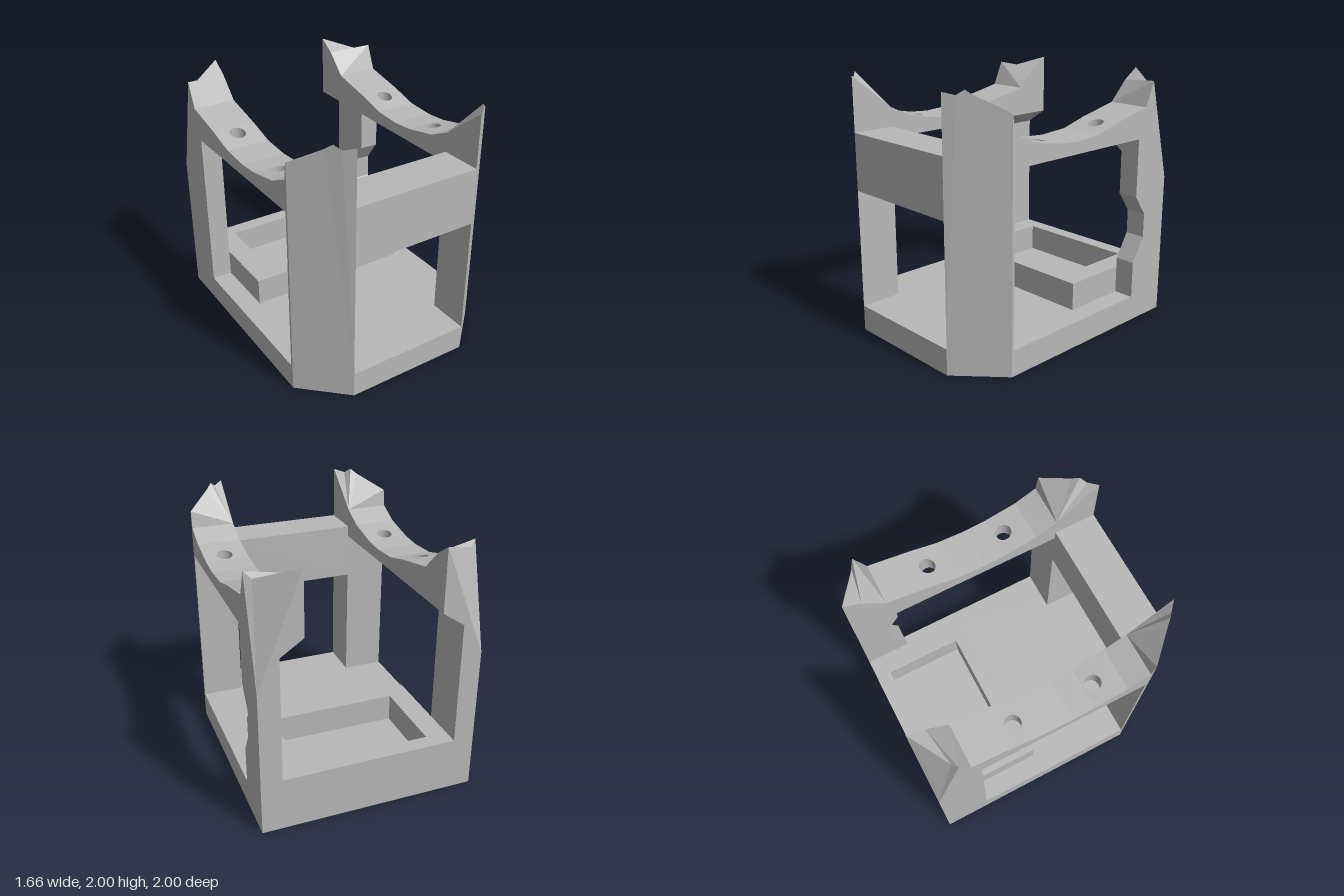
import * as THREE from 'three';

const grey = new THREE.MeshStandardMaterial({ color: 0xb8b8b8 });
grey.name = 'plain grey';

// Upright prism from a plan outline of [x, z] points, counter-clockwise from above
function prism(plan, y0, y1, holes = []) {
  const shape = new THREE.Shape(plan.map(([x, z]) => new THREE.Vector2(x, -z)));
  shape.holes.push(...holes);
  const geo = new THREE.ExtrudeGeometry(shape, { depth: y1 - y0, bevelEnabled: false, curveSegments: 20 });
  return geo.rotateX(-Math.PI / 2).translate(0, y0, 0);
}

const rect = (x0, x1, z0, z1) => [[x0, z1], [x1, z1], [x1, z0], [x0, z0]];

function roundHole(x, z, r) {
  const path = new THREE.Path();
  path.absarc(x, -z, r, 0, Math.PI * 2, true);
  return path;
}

// Flat-faced solid from named corners; each face is fanned from its first corner
function solid(p, faces) {
  const out = [];
  for (const face of faces) {
    const c = face.split(' ');
    for (let i = 1; i < c.length - 1; i++) out.push(...p[c[0]], ...p[c[i]], ...p[c[i + 1]]);
  }
  const geo = new THREE.BufferGeometry();
  geo.setAttribute('position', new THREE.Float32BufferAttribute(out, 3));
  geo.computeVertexNormals();
  return geo;
}

// Mirrored copy across x = 0 with the corner order turned round
function mirrored(geo) {
  const src = geo.index ? geo.toNonIndexed() : geo;
  const a = src.attributes.position;
  const out = [];
  for (let i = 0; i < a.count; i += 3)
    for (const k of [i, i + 2, i + 1]) out.push(-a.getX(k), a.getY(k), a.getZ(k));
  const m = new THREE.BufferGeometry();
  m.setAttribute('position', new THREE.Float32BufferAttribute(out, 3));
  m.computeVertexNormals();
  return m;
}

// Front corner post with a jagged, hollowed top
function frontPost() {
  return solid({
    b0: [0.5, 0.2, 0.67], b1: [0.83, 0.2, 0.67], b2: [0.83, 0.2, 0.69], b3: [0.5, 0.2, 1],
    t0: [0.5, 1.72, 0.67], t1: [0.83, 1.72, 0.67],
    c0: [0.5, 1.985, 1], c1: [0.57, 1.965, 0.94], c2: [0.61, 2, 0.9],
    c3: [0.65, 1.965, 0.86], c4: [0.83, 1.85, 0.69],
  }, ['b1 b0 t0 t1', 'b2 b1 t1 c4', 'b3 b2 c4 c3 c2 c1 c0', 'b0 b3 c0 t0', 't0 c0 c1 c2 c3 c4 t1']);
}

// Flared head of the back post with a slanted rear corner
function backHead() {
  return solid({
    a0: [0.67, 1.13, -0.64], a1: [0.83, 1.13, -0.64], a2: [0.83, 1.13, -1], a3: [0.67, 1.13, -1],
    e0: [0.67, 1.37, -0.64], e3: [0.67, 1.37, -1], f0: [0.5, 1.485, -0.64], f3: [0.5, 1.485, -1],
    q0: [0.5, 1.705, -0.64], q1: [0.83, 1.705, -0.64], r0: [0.5, 1.72, -0.71], r1: [0.83, 1.72, -0.71],
    t: [0.83, 1.91, -0.79], v: [0.78, 1.865, -0.825], p: [0.5, 1.88, -0.87], s: [0.5, 1.965, -1],
  }, [
    'e0 a0 a1 q1 q0 f0', 'a1 a2 t r1 q1',
    'a2 a3 e3', 'a2 e3 s', 'e3 f3 s', 'a2 s v t',
    'a3 a0 e0 e3', 'e3 e0 f0 f3', 'f0 q0 r0 p s f3',
    'q0 q1 r1 r0', 'r0 r1 t p', 'p t v s',
  ]);
}

// Lower back post, optionally with a notch in its front edge
function backPost(notched) {
  const notch = notched ? [[-0.64, 1.03], [-0.755, 0.87], [-0.755, 0.68], [-0.64, 0.49]] : [];
  const side = [[-0.64, 0.2], [-1, 0.2], [-1, 1.13], [-0.64, 1.13], ...notch];
  const shape = new THREE.Shape(side.map(([z, y]) => new THREE.Vector2(-z, y)));
  const geo = new THREE.ExtrudeGeometry(shape, { depth: 0.16, bevelEnabled: false });
  return geo.rotateY(Math.PI / 2).translate(0.67, 0, 0);
}

// One straight stretch of the curved rail between two [z, top height] stations
function railPart([z0, y0], [z1, y1]) {
  const holes = [0.315, -0.315].filter((z) => z < z0 && z > z1).map((z) => roundHole(0.67, z, 0.06));
  const geo = prism(rect(0.5, 0.83, z1, z0), 1.485, 2, holes);
  const a = geo.attributes.position;
  for (let i = 0; i < a.count; i++)
    if (a.getY(i) > 1.7) a.setY(i, y0 + ((y1 - y0) * (z0 - a.getZ(i))) / (z0 - z1));
  geo.computeVertexNormals();
  return geo;
}

export function createModel() {
  const model = new THREE.Group();
  model.name = 'cradleFrame';
  const add = (name, geo, parent = model) => {
    const mesh = new THREE.Mesh(geo, grey);
    mesh.name = name;
    parent.add(mesh);
  };

  // Base plate with a round recess underneath
  const plan = [[-0.83, 0.69], [-0.5, 1], [0.5, 1], [0.83, 0.69], [0.83, -1], [-0.83, -1]];
  add('baseUnderside', prism(plan, 0, 0.16, [roundHole(0, 0, 0.355)]));
  add('basePlate', prism(plan, 0.16, 0.2));

  // Open tray at the back of the base
  const pocket = new THREE.Path(rect(-0.5, 0.5, -0.88, -0.25).reverse().map(([x, z]) => new THREE.Vector2(x, -z)));
  add('tray', prism(rect(-0.67, 0.67, -1, -0.115), 0.2, 0.415, [pocket]));

  // Bar joining the front posts
  add('frontCrossbar', prism(rect(-0.5, 0.5, 0.67, 1), 1.13, 1.57));

  // Both sides: posts and curved top rail
  const stations = [[0.67, 1.72], [0.5, 1.64], [0.24, 1.587], [0.07, 1.575], [-0.16, 1.59], [-0.38, 1.65], [-0.64, 1.705]];
  for (const side of ['left', 'right']) {
    const place = (geo) => (side === 'left' ? geo : mirrored(geo));
    add(side + 'FrontPost', place(frontPost()));
    add(side + 'BackPost', place(backPost(side === 'left')));
    add(side + 'BackPostHead', place(backHead()));
    const rail = new THREE.Group();
    rail.name = side + 'TopRail';
    for (let i = 0; i < stations.length - 1; i++)
      add('railSection' + (i + 1), place(railPart(stations[i], stations[i + 1])), rail);
    model.add(rail);
  }
  return model;
}
